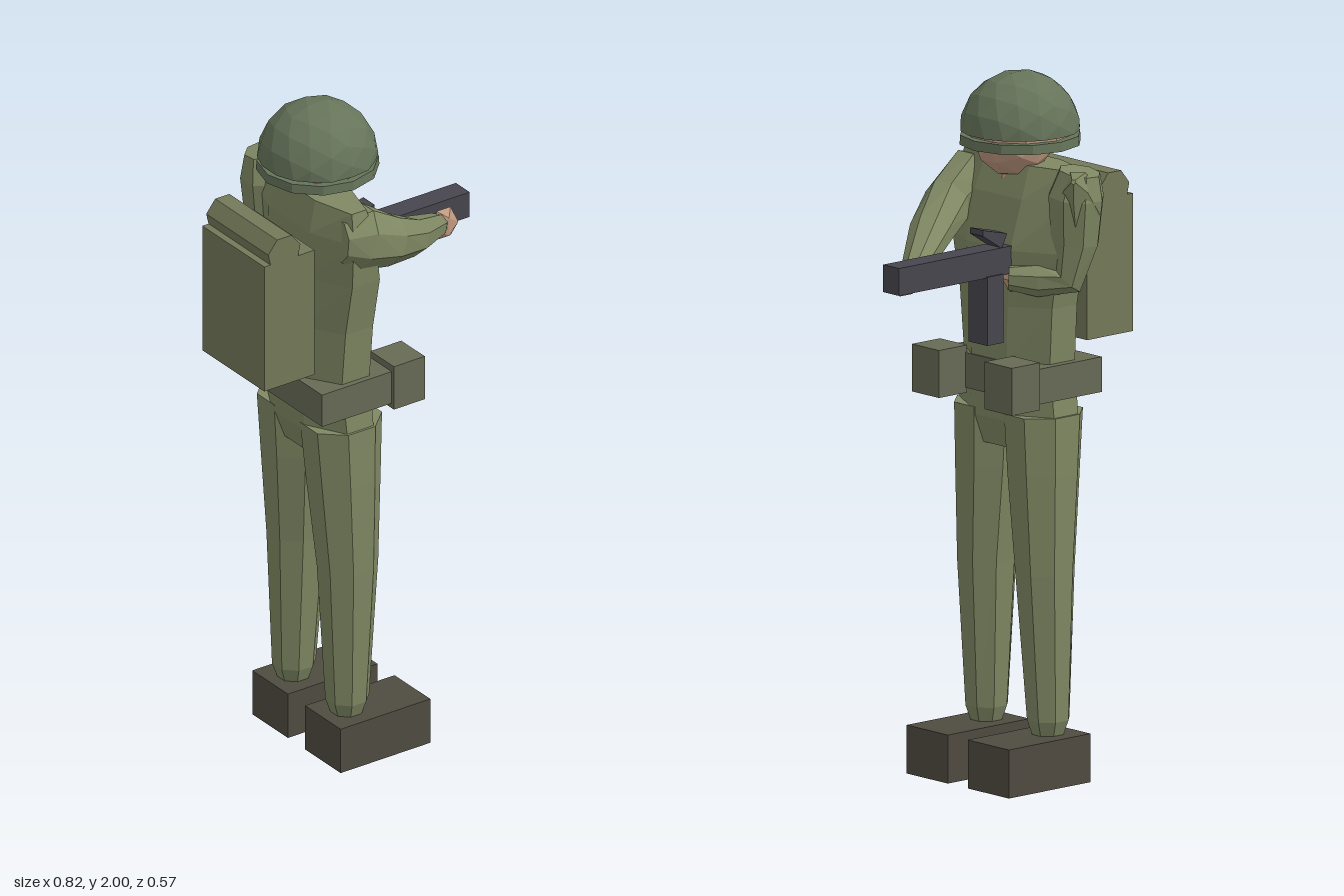
import * as THREE from 'three';

const mat = (color) => new THREE.MeshStandardMaterial({ color, flatShading: true });
const cloth = mat(0x7f8863), helmetGreen = mat(0x66745a), canvas = mat(0x747959), webbing = mat(0x676b55);
const leather = mat(0x4f4b41), metal = mat(0x47464e), skin = mat(0xbf987f);

const MID = 0.018; // z of the body's middle plane

function add(parent, name, geometry, material, x = 0, y = 0, z = 0) {
  const mesh = new THREE.Mesh(geometry, material);
  mesh.name = name;
  mesh.position.set(x, y, z);
  parent.add(mesh);
  return mesh;
}

// Box given by its limits along each axis
function box(parent, name, material, [x0, x1], [y0, y1], [z0, z1]) {
  return add(parent, name, new THREE.BoxGeometry(x1 - x0, y1 - y0, z1 - z0), material,
    (x0 + x1) / 2, (y0 + y1) / 2, (z0 + z1) / 2);
}

// Closed skin through rings [x, y, z, radius along ref, radius across].
// With an axis all rings share it, otherwise each follows the path.
function loft(rings, ref, axis, sides = 8) {
  const centres = rings.map((r) => new THREE.Vector3(r[0], r[1], r[2]));
  const pos = [], index = [];
  const last = rings.length - 1;
  rings.forEach((r, i) => {
    const d = axis ? axis.clone()
      : centres[Math.min(i + 1, last)].clone().sub(centres[Math.max(i - 1, 0)]).normalize();
    const n = ref.clone().addScaledVector(d, -ref.dot(d)).normalize();
    const b = n.clone().cross(d);
    for (let j = 0; j < sides; j++) {
      const a = ((j + 0.5) / sides) * Math.PI * 2, k = 1 / Math.cos(Math.PI / sides);
      const p = centres[i].clone()
        .addScaledVector(n, Math.cos(a) * r[3] * k)
        .addScaledVector(b, Math.sin(a) * r[4] * k);
      pos.push(p.x, p.y, p.z);
    }
  });
  const start = rings.length * sides;
  for (const c of [centres[0], centres[last]]) pos.push(c.x, c.y, c.z);
  for (let j = 0; j < sides; j++) {
    const k = (j + 1) % sides;
    for (let i = 0; i < last; i++) {
      const a = i * sides + j, b = i * sides + k;
      index.push(a, a + sides, b, b, a + sides, b + sides);
    }
    index.push(start, j, k, start + 1, last * sides + k, last * sides + j);
  }
  const g = new THREE.BufferGeometry();
  g.setAttribute('position', new THREE.Float32BufferAttribute(pos, 3));
  g.setIndex(index);
  g.computeVertexNormals();
  return g;
}

export function createModel() {
  const model = new THREE.Group();
  model.name = 'infantryFigure';
  const X = new THREE.Vector3(1, 0, 0), Y = new THREE.Vector3(0, 1, 0);

  // Trunk from hips to collar
  add(model, 'torso', loft([
    [-0.12, 0.95, MID, 0.085, 0.13],
    [-0.122, 1.03, MID, 0.108, 0.198],
    [-0.125, 1.2, MID, 0.113, 0.178],
    [-0.122, 1.36, MID, 0.113, 0.19],
    [-0.12, 1.52, MID, 0.113, 0.22],
    [-0.135, 1.66, MID, 0.09, 0.235],
    [-0.14, 1.75, MID, 0.06, 0.215],
  ], X, Y), cloth);

  // Legs and boots, mirrored about the body's middle
  for (const s of [1, -1]) {
    add(model, s > 0 ? 'rightLeg' : 'leftLeg', loft([
      [-0.118, 0.13, MID + s * 0.127, 0.042, 0.04],
      [-0.118, 0.18, MID + s * 0.127, 0.058, 0.057],
      [-0.112, 0.6, MID + s * 0.12, 0.082, 0.077],
      [-0.118, 0.88, MID + s * 0.108, 0.1, 0.094],
      [-0.122, 1.05, MID + s * 0.103, 0.11, 0.1],
    ], X, Y), cloth);
    const z = MID + s * 0.126;
    box(model, s > 0 ? 'rightBoot' : 'leftBoot', leather, [-0.2, 0.105], [0, 0.138], [z - 0.085, z + 0.085]);
    const p = MID + s * 0.15;
    box(model, s > 0 ? 'rightPouch' : 'leftPouch', webbing, [-0.015, 0.09], [1.085, 1.22], [p - 0.056, p + 0.056]);
  }
  box(model, 'belt', webbing, [-0.252, -0.008], [1.1, 1.2], [-0.183, 0.213]);

  // Right arm reaches forward to support the barrel
  add(model, 'rightArm', loft([
    [-0.185, 1.66, 0.2, 0.06, 0.05],
    [-0.12, 1.655, 0.205, 0.09, 0.075],
    [-0.02, 1.61, 0.195, 0.07, 0.066],
    [0.1, 1.555, 0.135, 0.052, 0.058],
    [0.27, 1.485, 0.02, 0.034, 0.034],
    [0.295, 1.478, 0.005, 0.025, 0.025],
  ], Y), cloth);

  // Left arm hangs to the elbow, then folds in to the grip
  add(model, 'leftArm', loft([
    [-0.14, 1.75, -0.215, 0.06, 0.055],
    [-0.135, 1.68, -0.205, 0.085, 0.075],
    [-0.135, 1.55, -0.2, 0.072, 0.065],
    [-0.12, 1.445, -0.185, 0.062, 0.05],
    [-0.06, 1.44, -0.13, 0.05, 0.045],
    [0, 1.445, -0.075, 0.032, 0.032],
  ], new THREE.Vector3(0.7, 0, -0.7)), cloth);
  // Raised sleeve fold at the left shoulder
  add(model, 'shoulderFold', loft([
    [-0.14, 1.65, -0.22, 0.07, 0.05],
    [-0.09, 1.72, -0.255, 0.045, 0.03],
    [-0.05, 1.745, -0.288, 0.006, 0.006],
  ], Y, null, 5), cloth);

  // Hands
  const hand = new THREE.IcosahedronGeometry(0.048, 0);
  add(model, 'rightHand', hand, skin, 0.31, 1.474, 0.005).scale.set(0.95, 1.1, 0.65);
  add(model, 'leftHand', hand, skin, -0.025, 1.44, -0.075).scale.set(0.75, 0.9, 0.9);

  // Head
  add(model, 'head', new THREE.IcosahedronGeometry(0.115, 1), skin, -0.105, 1.812, MID).scale.set(1, 0.95, 0.98);
  add(model, 'neck', new THREE.CylinderGeometry(0.06, 0.07, 0.1, 8), skin, -0.13, 1.75, MID);

  // Helmet: faceted dome with a flat underside, inner band and brim
  const dome = new THREE.IcosahedronGeometry(0.172, 2);
  const p = dome.attributes.position;
  for (let i = 0; i < p.count; i++) p.setY(i, Math.max(p.getY(i), 0));
  dome.computeVertexNormals();
  add(model, 'helmetDome', dome, helmetGreen, -0.128, 1.834, MID).scale.set(0.98, 0.965, 0.98);
  add(model, 'helmetBand', new THREE.CylinderGeometry(0.15, 0.15, 0.02, 10), skin, -0.128, 1.828, MID);
  add(model, 'helmetBrim', new THREE.CylinderGeometry(0.17, 0.172, 0.027, 12), helmetGreen, -0.128, 1.81, MID);

  // Backpack with a bedroll strapped on top
  box(model, 'backpack', canvas, [-0.413, -0.242], [1.24, 1.632], [-0.133, 0.163]);
  const roll = add(model, 'bedroll', new THREE.CylinderGeometry(0.056, 0.056, 0.296, 7), canvas, -0.345, 1.653, 0.015);
  roll.rotation.x = Math.PI / 2;

  // Rifle
  const rifle = new THREE.Group();
  rifle.name = 'rifle';
  model.add(rifle);
  box(rifle, 'rifleBody', metal, [-0.243, 0.41], [1.456, 1.534], [-0.076, -0.01]);
  box(rifle, 'magazine', metal, [0.025, 0.085], [1.265, 1.46], [-0.082, -0.004]);
  const wedge = new THREE.Shape([[0.02, 1.53], [0.09, 1.575], [0.09, 1.592], [0.0, 1.57]].map((c) => new THREE.Vector2(...c)));
  add(rifle, 'sight', new THREE.ExtrudeGeometry(wedge, { depth: 0.055, bevelEnabled: false }), metal, 0, 0, -0.07);
  return model;
}
